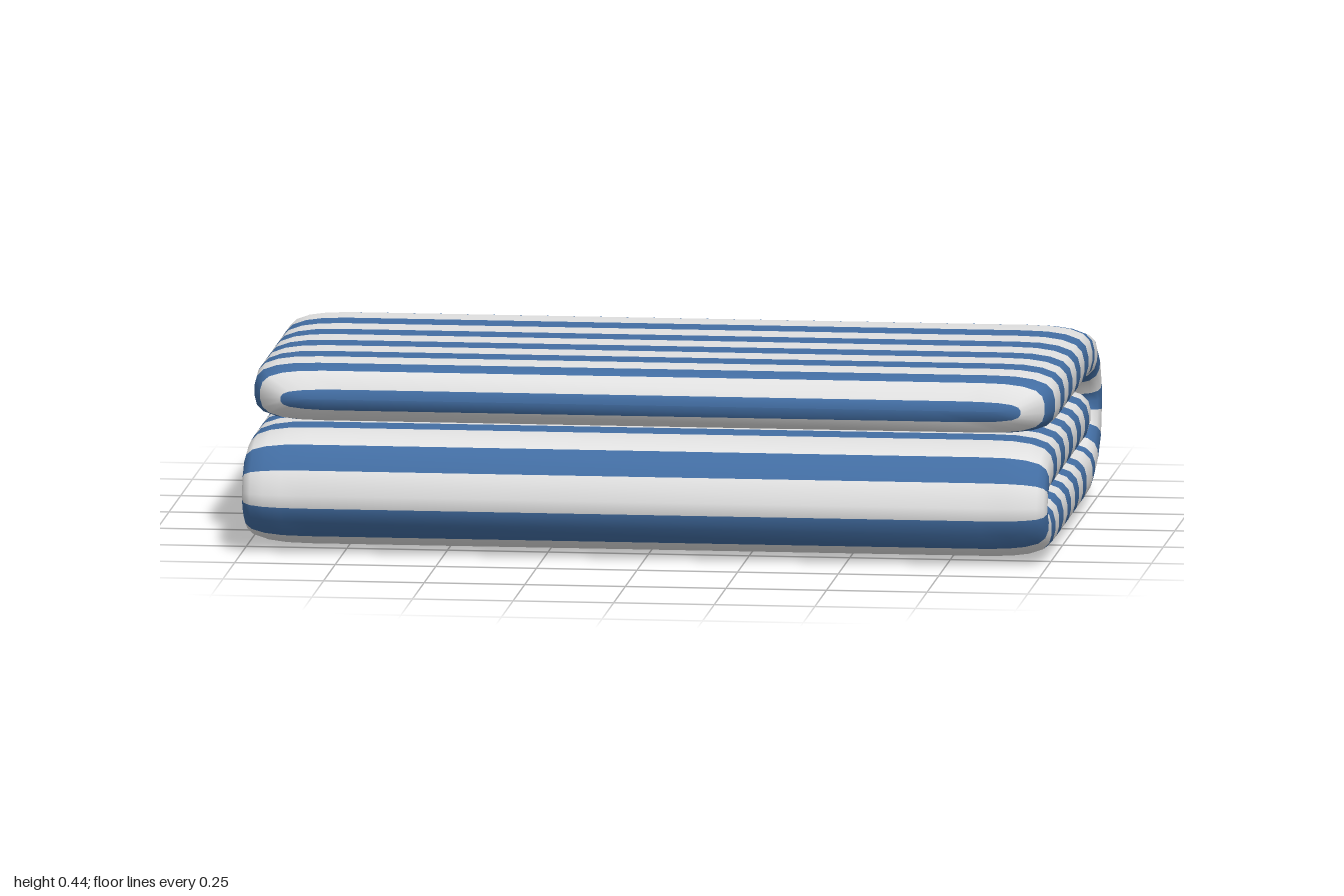
import * as THREE from 'three';

export function createModel() {
  const white = new THREE.MeshStandardMaterial({ color: 0xe0e0e0 });
  white.name = 'white cloth';
  const blue = new THREE.MeshStandardMaterial({ color: 0x426da2 });
  blue.name = 'blue cloth';
  const W = 0, B = 1;

  // Stations along the folded cloth: outer z,y, inner z,y, half width, colour up to the next one
  const stations = [];
  const add = (oz, oy, iz, iy, colour, half = 1) => stations.push({ oz, oy, iz, iy, colour, half });
  // Straight run: alternating stripes between the listed z values
  const run = (oy, iy, first, zs) => zs.forEach((z, i) => add(z, oy, z, iy, (first + i) % 2));

  // Rounded free end of the top layer
  add(0.463, 0.365, 0.463, 0.365, B, 0.86);
  add(0.461, 0.39, 0.461, 0.338, W, 0.92);
  add(0.42, 0.43, 0.42, 0.306, B, 0.975);
  add(0.367, 0.441, 0.367, 0.298, W, 0.995);
  // Top layer
  run(0.445, 0.296, B, [0.292, 0.21, 0.122, 0.04, -0.048, -0.128, -0.216, -0.3]);
  // Open fold at the back
  add(-0.385, 0.445, -0.385, 0.295, B);
  add(-0.44, 0.436, -0.42, 0.293, W);
  add(-0.523, 0.418, -0.465, 0.289, B);
  add(-0.595, 0.367, -0.498, 0.275, W);
  add(-0.633, 0.28, -0.525, 0.247, B);
  add(-0.642, 0.238, -0.529, 0.231, B);
  add(-0.636, 0.2, -0.525, 0.212, W);
  add(-0.62, 0.112, -0.505, 0.188, B);
  add(-0.545, 0.048, -0.465, 0.165, W);
  add(-0.46, 0.018, -0.425, 0.151, B);
  add(-0.4, 0.004, -0.39, 0.147, W);
  // Bottom layer
  run(0, 0.147, B, [-0.267, -0.188, -0.1, -0.019, 0.07, 0.15, 0.236, 0.326]);
  // Tight fold at the front
  add(0.408, 0.002, 0.408, 0.147, B);
  add(0.488, 0.009, 0.48, 0.147, W);
  add(0.54, 0.02, 0.505, 0.1475, W);
  add(0.588, 0.043, 0.515, 0.148, B);
  add(0.626, 0.083, 0.52, 0.1482, B);
  add(0.639, 0.12, 0.521, 0.1484, W);
  add(0.643, 0.152, 0.522, 0.1486, W);
  add(0.62, 0.212, 0.52, 0.149, B);
  add(0.564, 0.268, 0.515, 0.1495, W);
  add(0.505, 0.285, 0.5, 0.15, W);
  add(0.446, 0.292, 0.446, 0.15, B);
  // Middle layer
  run(0.294, 0.15, W, [0.367, 0.284, 0.198, 0.115, 0.03, -0.057, -0.14, -0.226, -0.31]);
  // Rounded free end of the middle layer
  add(-0.395, 0.29, -0.395, 0.153, B, 0.995);
  add(-0.447, 0.279, -0.447, 0.163, W, 0.975);
  add(-0.488, 0.243, -0.488, 0.193, B, 0.92);
  add(-0.49, 0.218, -0.49, 0.218, B, 0.86);

  // Pillow-like cross-section: distance in from the edge, height from -1 to 1
  const edge = [[0.16, 1], [0.1, 0.975], [0.055, 0.89], [0.022, 0.73], [0.006, 0.5], [0, 0.18]];
  const right = [...edge, ...edge.map(([d, v]) => [d, -v]).reverse()];
  const ring = [
    ...right.map(([d, v]) => ({ side: 1, d, v })),
    ...right.map(([d, v]) => ({ side: -1, d, v: -v })),
  ];
  const n = ring.length;

  const positions = [];
  for (const s of stations) {
    for (const p of ring) {
      const k = (p.v + 1) / 2;
      positions.push(
        p.side * (s.half - p.d),
        s.iy + (s.oy - s.iy) * k,
        s.iz + (s.oz - s.iz) * k
      );
    }
  }

  // Skin between stations, one material group per stripe
  const geometry = new THREE.BufferGeometry();
  const index = [];
  for (let s = 0; s < stations.length - 1; s++) {
    const start = index.length;
    for (let j = 0; j < n; j++) {
      const a = s * n + j, b = s * n + (j + 1) % n;
      index.push(a, b, a + n, b, b + n, a + n);
    }
    geometry.addGroup(start, index.length - start, stations[s].colour);
  }
  geometry.setAttribute('position', new THREE.Float32BufferAttribute(positions, 3));
  geometry.setIndex(index);
  geometry.computeVertexNormals();

  const towel = new THREE.Mesh(geometry, [white, blue]);
  towel.name = 'foldedStripedTowel';
  const group = new THREE.Group();
  group.name = 'foldedTowel';
  group.add(towel);
  return group;
}
